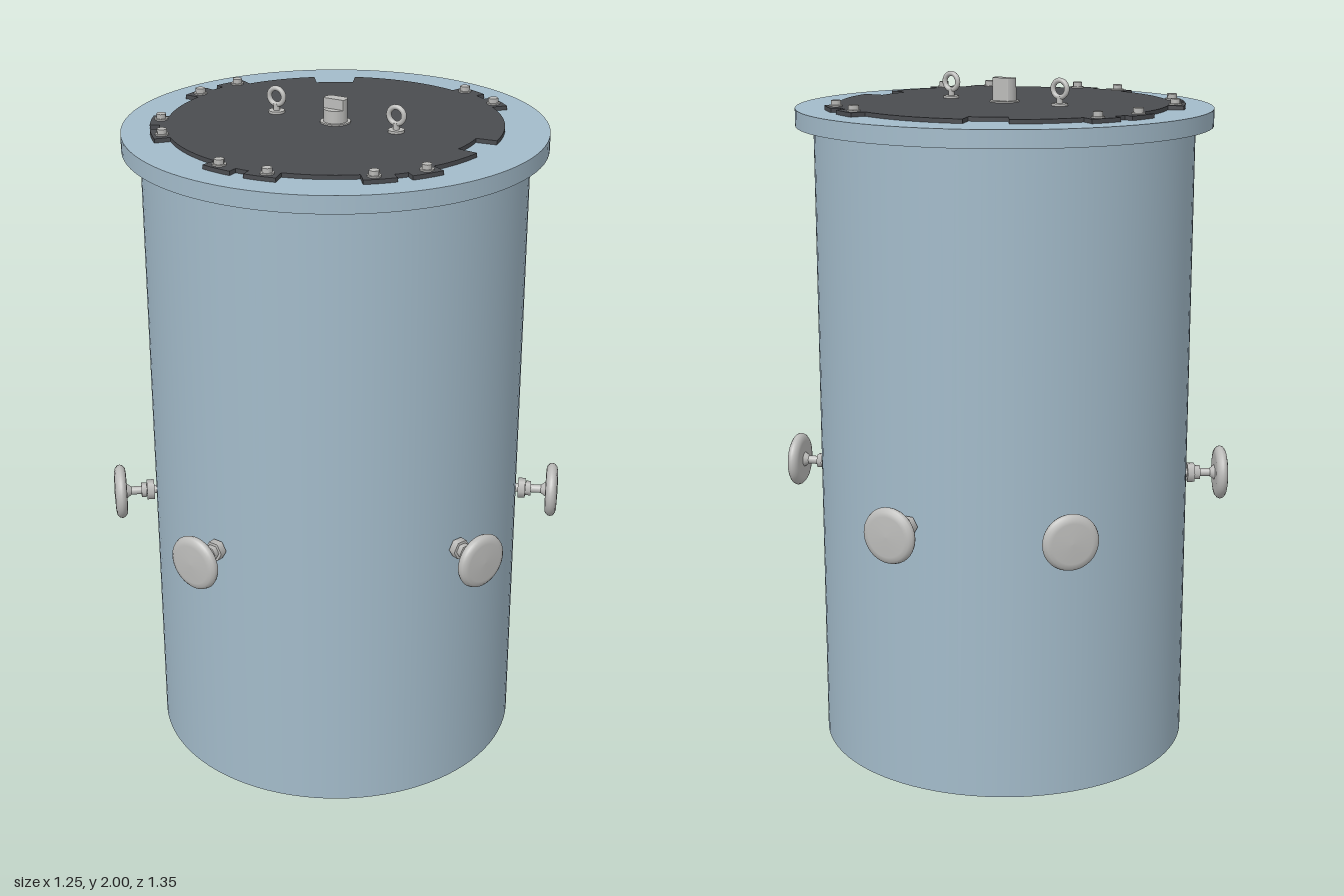
import * as THREE from 'three';

export function createModel() {
  const model = new THREE.Group();
  model.name = 'lockedVessel';
  const root = new THREE.Group();
  root.name = 'vessel';
  root.position.x = -0.025;
  model.add(root);

  const mat = (name, color) => new THREE.MeshStandardMaterial({ name, color });
  const blue = mat('paintedBlue', 0xa3bbca);
  const dark = mat('darkPlate', 0x4a4c50);
  const steel = mat('steel', 0xbcbcba);

  const add = (parent, name, geo, material, x = 0, y = 0, z = 0) => {
    const m = new THREE.Mesh(geo, material);
    m.name = name;
    m.position.set(x, y, z);
    parent.add(m);
    return m;
  };
  const cyl = (r, h, n = 24) => new THREE.CylinderGeometry(r, r, h, n);
  const rad = THREE.MathUtils.degToRad;

  // Drum and top flange
  add(root, 'drum', cyl(0.55, 1.87, 96), blue, 0, 0.935, 0);
  add(root, 'flange', cyl(0.602, 0.05, 96), blue, 0, 1.885, 0);

  // Lid plate: outline radius changes with the angle (tab pairs and two notches)
  const pairs = [60, 165, 215, 270, 320];
  const steps = [];
  for (const c of pairs) {
    steps.push([c - 12.5, c - 2.3, 0.52], [c - 2.3, c + 2.3, 0.492], [c + 2.3, c + 12.5, 0.52]);
  }
  steps.push([-7.5, 7.5, 0.415], [112.5, 127.5, 0.415]);
  steps.sort((a, b) => a[0] - b[0]);
  const outline = [];
  const arc = (from, to, r) => {
    const n = Math.max(2, Math.ceil((to - from) / 2.5));
    for (let i = 0; i <= n; i++) {
      const a = rad(from + ((to - from) * i) / n);
      outline.push(new THREE.Vector2(r * Math.cos(a), r * Math.sin(a)));
    }
  };
  steps.forEach(([from, to, r], i) => {
    arc(from, to, r);
    const next = i + 1 < steps.length ? steps[i + 1][0] : steps[0][0] + 360;
    if (next - to > 0.1) arc(to, next, 0.475);
  });
  const lid = new THREE.ExtrudeGeometry(new THREE.Shape(outline), { depth: 0.013, bevelEnabled: false });
  lid.rotateX(-Math.PI / 2);
  add(root, 'lidPlate', lid, dark, 0, 1.909, 0);

  // Two bolts on each tab pair
  for (const c of pairs) {
    for (const s of [-8.6, 8.6]) {
      const a = rad(c + s);
      const bolt = new THREE.Group();
      bolt.name = 'lidBolt';
      bolt.position.set(0.492 * Math.cos(a), 1.922, -0.492 * Math.sin(a));
      bolt.rotation.y = a;
      add(bolt, 'washer', cyl(0.019, 0.004), steel, 0, 0.002, 0);
      add(bolt, 'boltHead', cyl(0.015, 0.014, 6), steel, 0, 0.01, 0);
      root.add(bolt);
    }
  }

  // Lifting eyes
  for (const s of [-1, 1]) {
    const eye = new THREE.Group();
    eye.name = 'liftingEye';
    eye.position.set(0.193 * s, 1.922, 0);
    add(eye, 'eyeBase', cyl(0.023, 0.007), steel, 0, 0.0035, 0);
    add(eye, 'eyeShank', cyl(0.009, 0.022, 16), steel, 0, 0.015, 0);
    add(eye, 'eyeRing', new THREE.TorusGeometry(0.0235, 0.0075, 12, 32), steel, 0, 0.047, 0);
    root.add(eye);
  }

  // Centre post: round with a flat at the back and a stepped front
  const post = (name, zBack, zFront, y0, y1) => {
    const R = 0.034;
    const pts = [];
    for (let i = 0; i < 48; i++) {
      const a = (i / 48) * Math.PI * 2;
      pts.push(new THREE.Vector2(R * Math.cos(a), THREE.MathUtils.clamp(R * Math.sin(a), -zFront, -zBack)));
    }
    const g = new THREE.ExtrudeGeometry(new THREE.Shape(pts), { depth: y1 - y0, bevelEnabled: false });
    g.rotateX(-Math.PI / 2);
    add(root, name, g, steel, 0, y0, 0);
  };
  add(root, 'postCollar', cyl(0.043, 0.004, 32), steel, 0, 1.924, 0);
  post('postLower', -0.022, 0.034, 1.92, 1.962);
  post('postUpper', -0.022, 0.012, 1.962, 1.991);

  // Round side knobs on stems
  const knobProfile = [
    [0, -0.017], [0.058, -0.017], [0.07, -0.015], [0.078, -0.008], [0.081, 0],
    [0.078, 0.009], [0.07, 0.015], [0.058, 0.018], [0, 0.02],
  ].map(([x, y]) => new THREE.Vector2(x, y));
  const onX = (g) => g.rotateZ(-Math.PI / 2);
  for (const deg of [22, 97.5, 142, -22, -97.5, -142]) {
    const knob = new THREE.Group();
    knob.name = 'sideKnob';
    knob.position.y = 0.8;
    knob.rotation.y = rad(deg);
    add(knob, 'knobStem', onX(cyl(0.0125, 0.11, 20)), steel, 0.595);
    add(knob, 'knobNut', onX(cyl(0.03, 0.022, 6)), steel, 0.568);
    add(knob, 'knobLockNut', onX(cyl(0.022, 0.016, 6)), steel, 0.588);
    add(knob, 'knobHub', onX(new THREE.CylinderGeometry(0.024, 0.0125, 0.016, 20)), steel, 0.634);
    add(knob, 'knobDisc', onX(new THREE.LatheGeometry(knobProfile, 40)), steel, 0.657);
    root.add(knob);
  }

  return model;
}
